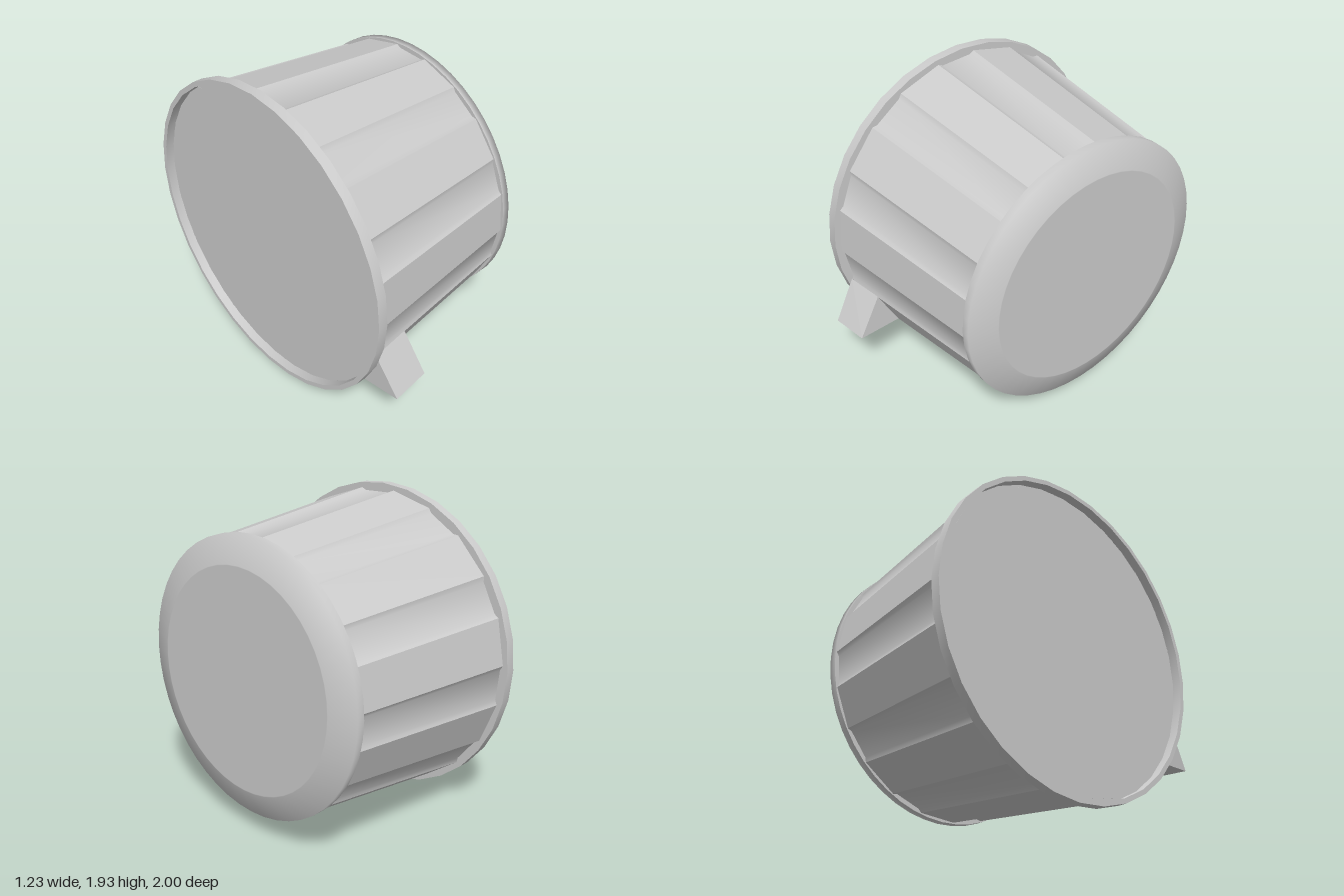
import * as THREE from 'three';
import { toCreasedNormals } from 'three/addons/utils/BufferGeometryUtils.js';
import { ConvexGeometry } from 'three/addons/geometries/ConvexGeometry.js';

const rad = THREE.MathUtils.degToRad;
const FACETS = 11;                 // flat / flute pairs around the knob
const PITCH = 360 / FACETS;
const FLAT = 17.3;                 // degrees taken by each flat
const FIRST = 174.5 - FLAT / 2;    // start angle of the first flat
const FLUTE = [[0.12, 0.016], [0.88, 0.016]]; // position across a flute, depth
const X_BACK = -0.562, X_FRONT = 0.52;
const CREASE = 0.6;

// Unit outline of flats and shallow flutes; x runs towards -z, y runs up
function outline() {
  const at = d => new THREE.Vector2(Math.cos(rad(d)), Math.sin(rad(d)));
  const points = [];
  for (let i = 0; i < FACETS; i++) {
    const start = FIRST + i * PITCH;
    const q = at(start + FLAT), r = at(start + PITCH);
    const inward = q.clone().add(r).normalize().negate();
    points.push(at(start), q);
    for (const [t, depth] of FLUTE) points.push(q.clone().lerp(r, t).addScaledVector(inward, depth));
  }
  return points;
}

// Tapered side wall, closed at the wide end by a fan
function gripGeometry(r0, r1) {
  const points = outline(), n = points.length;
  const pos = [X_BACK, 0, 0], index = [];
  points.forEach((p, i) => {
    pos.push(X_BACK, p.y * r0, -p.x * r0, X_FRONT, p.y * r1, -p.x * r1);
    const a = 1 + 2 * i, b = 1 + 2 * ((i + 1) % n);
    index.push(a, b, b + 1, a, b + 1, a + 1, 0, b, a);
  });
  const g = new THREE.BufferGeometry();
  g.setAttribute('position', new THREE.Float32BufferAttribute(pos, 3));
  g.setIndex(index);
  return toCreasedNormals(g, CREASE);
}

// Profile of [radius, x] turned around the x axis
function turned(profile, sides) {
  const g = new THREE.LatheGeometry(profile.map(p => new THREE.Vector2(...p)), sides);
  return g.rotateZ(-Math.PI / 2);
}

export function createModel() {
  const group = new THREE.Group();
  const material = new THREE.MeshStandardMaterial({ color: 0xcccccc });
  const knob = new THREE.Group();
  knob.name = 'knob';
  knob.position.set(0, 0.967, -0.035);
  group.add(knob);

  const add = (parent, name, geometry) => {
    const mesh = new THREE.Mesh(geometry, material);
    mesh.name = name;
    parent.add(mesh);
  };

  // Fluted body with its recessed back
  add(knob, 'flutedGrip', gripGeometry(0.935, 0.82));

  // Thin collar standing behind the body, with a lip that meets the flutes
  add(knob, 'collar', toCreasedNormals(turned([
    [0.89, -0.56], [0.938, -0.56], [0.938, -0.615], [0.967, -0.615],
    [0.967, -0.556], [0.89, -0.556],
  ], 32), CREASE));

  // Domed cap at the narrow end: shoulder, soft bevel and flat face
  add(knob, 'capShoulder', turned([[0.7, 0.508], [0.83, 0.508]], 48));
  add(knob, 'capBevel', turned([[0.83, 0.508], [0.83, 0.555], [0.67, 0.61], [0.665, 0.61]], 48));
  add(knob, 'capFace', turned([[0.665, 0.61], [0, 0.61]], 48));

  // Wedge pointer standing on one flat, leaning with the taper
  const wedge = [
    [-0.53, 0.435, 1.0], [-0.555, 0.675, 0.855], [-0.555, 0.42, 0.71],
    [-0.29, 0.445, 0.975], [-0.31, 0.68, 0.825], [-0.31, 0.435, 0.69],
  ].map(p => new THREE.Vector3(...p));
  add(group, 'pointer', new ConvexGeometry(wedge));

  return group;
}
